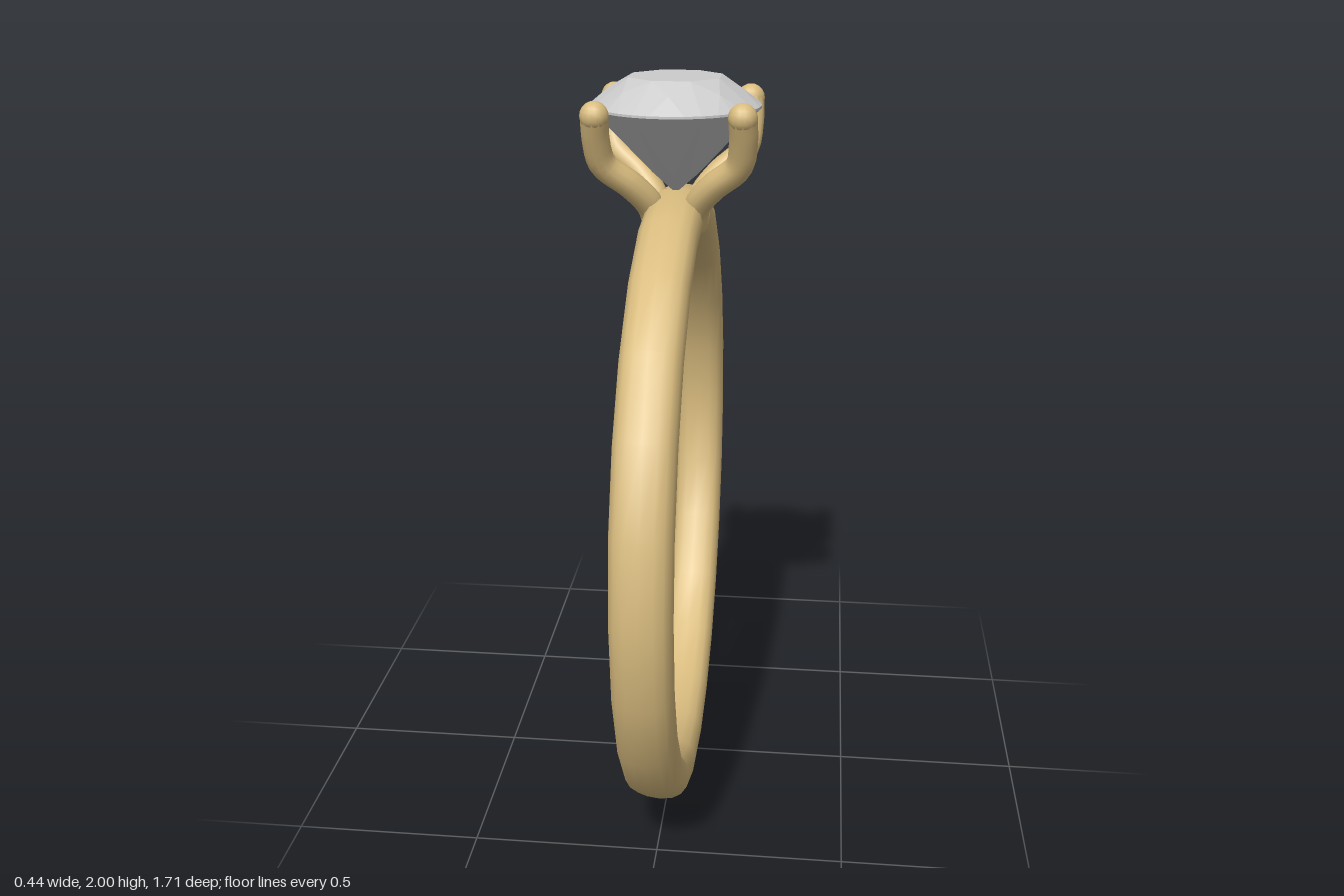
import * as THREE from 'three';
import { mergeVertices } from 'three/addons/utils/BufferGeometryUtils.js';
import { ConvexGeometry } from 'three/addons/geometries/ConvexGeometry.js';

const gold = new THREE.MeshStandardMaterial({ color: 0xd9bc7f });
const stone = new THREE.MeshStandardMaterial({ color: 0xcccccc, flatShading: true });

function part(name, geometry, material) {
  const mesh = new THREE.Mesh(geometry, material);
  mesh.name = name;
  return mesh;
}

// Ring of points around the vertical axis
function ring(count, radius, y, offset = 0) {
  return Array.from({ length: count }, (_, i) => {
    const a = ((i + offset) / count) * Math.PI * 2;
    return new THREE.Vector3(radius * Math.cos(a), y, radius * Math.sin(a));
  });
}

// Band: a rounded-square section swept around in 24 steps
function bandGeometry() {
  const soften = (v) => Math.sign(v) * Math.abs(v) ** 0.82;
  const section = [];
  for (let i = 0; i <= 16; i++) {
    const a = ((i % 16) / 16) * Math.PI * 2;
    section.push(new THREE.Vector2(0.79 + 0.065 * soften(Math.cos(a)), 0.077 * soften(Math.sin(a))));
  }
  let geometry = new THREE.LatheGeometry(section, 24);
  geometry.deleteAttribute('normal');
  geometry.deleteAttribute('uv');
  geometry = mergeVertices(geometry, 1e-4);
  geometry.computeVertexNormals();
  return geometry.rotateZ(Math.PI / 2).translate(0, 0.855, 0);
}

// Prong: bent rod rising from the band, with a round tip
function prong(name, sx, sz) {
  const points = [
    [0.05, 1.62, 0.02], [0.062, 1.68, 0.055], [0.105, 1.735, 0.09],
    [0.172, 1.795, 0.125], [0.184, 1.86, 0.155], [0.183, 1.922, 0.182],
  ].map(([x, y, z]) => new THREE.Vector3(x * sx, y, z * sz));
  const radius = 0.036;
  const group = new THREE.Group();
  group.name = name;
  const curve = new THREE.CatmullRomCurve3(points);
  group.add(part('prongRod', new THREE.TubeGeometry(curve, 20, radius, 12), gold));
  const tip = part('prongTip', new THREE.SphereGeometry(radius * 1.03, 14, 10), gold);
  tip.position.copy(points[points.length - 1]);
  group.add(tip);
  return group;
}

export function createModel() {
  const model = new THREE.Group();
  model.name = 'ring';
  model.add(part('band', bandGeometry(), gold));

  for (const sx of [1, -1]) {
    for (const sz of [1, -1]) {
      model.add(prong(`${sz > 0 ? 'front' : 'back'}${sx > 0 ? 'Left' : 'Right'}Prong`, sx, sz));
    }
  }

  // Brilliant-cut stone: table, star points, girdle, pavilion points and culet
  const facets = [
    ...ring(8, 0.125, 2, 0.5),
    ...ring(8, 0.172, 1.97),
    ...ring(32, 0.221, 1.929),
    ...ring(32, 0.221, 1.923),
    ...ring(8, 0.06, 1.752),
    new THREE.Vector3(0, 1.7, 0),
  ];
  model.add(part('gemstone', new ConvexGeometry(facets), stone));
  return model;
}
